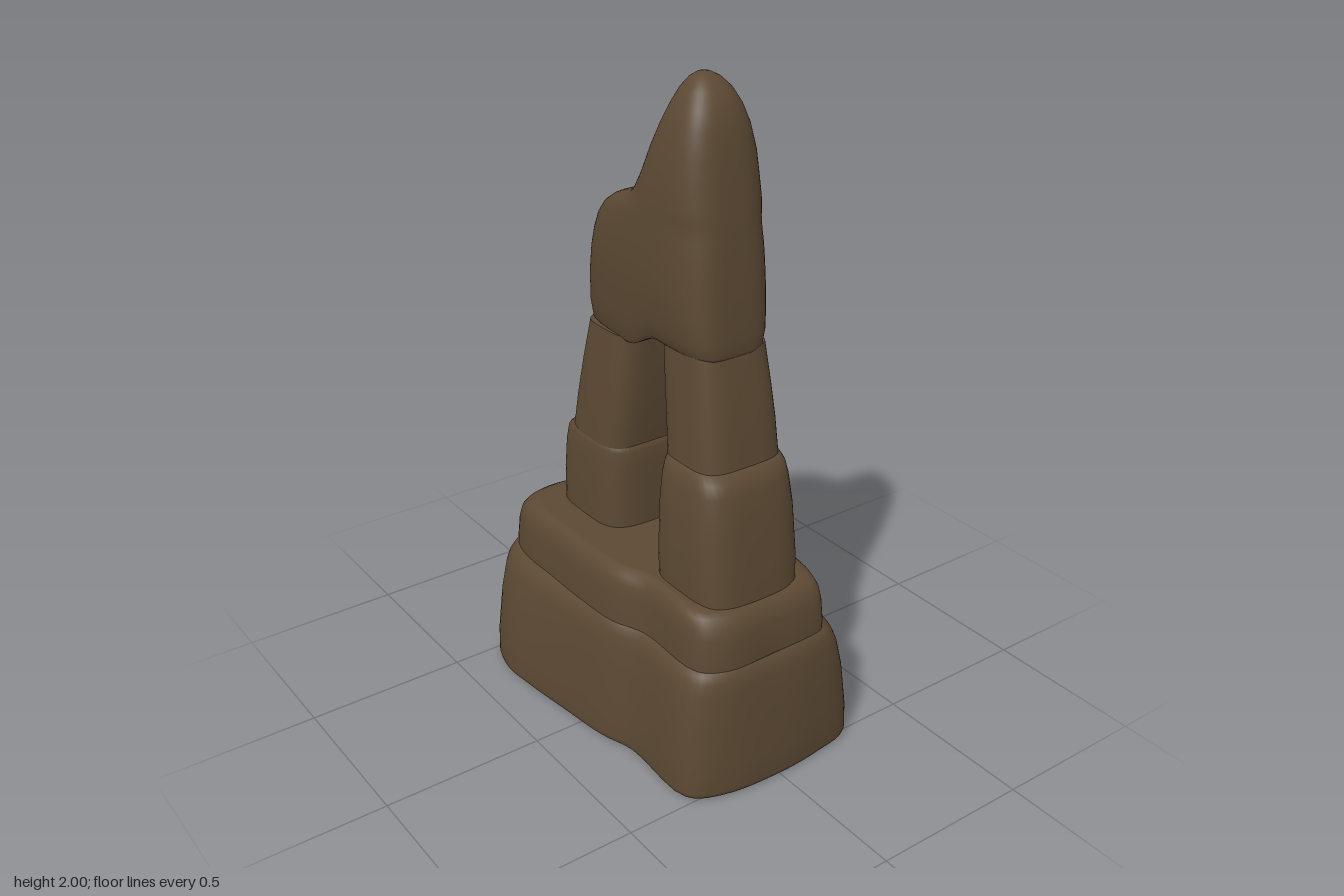
import * as THREE from 'three';

const rock = new THREE.MeshStandardMaterial({ color: 0x5c4933 });
rock.name = 'brown rock';

// Skin a stack of closed rings (counterclockwise from above, starting at +z) and cap both ends
function loft(name, rings) {
  const n = rings[0].length, pos = [], idx = [];
  const addRing = r => { const s = pos.length / 3; r.forEach(p => pos.push(p.x, p.y, p.z)); return s; };
  rings.forEach(addRing);
  for (let r = 0; r < rings.length - 1; r++) {
    for (let i = 0; i < n; i++) {
      const j = (i + 1) % n, a = r * n + i, b = r * n + j;
      idx.push(a, b, a + n, b, b + n, a + n);
    }
  }
  const cap = (ring, up) => {
    const s = addRing(ring);
    for (let i = 0; i < n / 2; i++) {
      const a = s + i, b = s + i + 1, c = s + n - i - 1, d = s + (n - i) % n;
      if (up) idx.push(a, b, c, a, c, d);
      else idx.push(a, c, b, a, d, c);
    }
  };
  cap(rings[0], false);
  cap(rings[rings.length - 1], true);
  const g = new THREE.BufferGeometry();
  g.setAttribute('position', new THREE.Float32BufferAttribute(pos, 3));
  g.setIndex(idx);
  g.computeVertexNormals();
  const mesh = new THREE.Mesh(g, rock);
  mesh.name = name;
  return mesh;
}

// Rounded-square ring between x0..x1 and z0 (back)..z1 (front)
function block(y, x0, x1, z0, z1, power = 4, n = 64) {
  return Array.from({ length: n }, (_, i) => {
    const t = i / n * Math.PI * 2, s = Math.sin(t), c = Math.cos(t);
    const r = (Math.abs(s) ** power + Math.abs(c) ** power) ** (-1 / power);
    return new THREE.Vector3((x0 + x1) / 2 + r * s * (x1 - x0) / 2, y, (z0 + z1) / 2 + r * c * (z1 - z0) / 2);
  });
}

const outline = pts => new THREE.CatmullRomCurve3(pts.map(([x, z]) => new THREE.Vector3(x, 0, z)), true);

// Irregular ground outline and the ledge outline above it
const foot = outline([
  [0, .555], [.15, .545], [.27, .52], [.315, .46], [.345, .3], [.375, .1], [.375, -.1], [.352, -.26], [.345, -.44], [.25, -.54],
  [0, -.553], [-.22, -.555], [-.34, -.49], [-.382, -.38], [-.375, -.24], [-.355, -.08], [-.33, .1], [-.297, .21], [-.292, .48], [-.2, .535]]);
const ledge = outline([
  [0, .503], [.12, .503], [.19, .49], [.215, .44], [.24, .32], [.30, .18], [.315, -.02], [.30, -.22], [.285, -.40], [.21, -.475],
  [0, -.49], [-.16, -.505], [-.26, -.47], [-.295, -.38], [-.297, -.22], [-.297, -.06], [-.285, .1], [-.245, .21], [-.235, .45], [-.16, .5]]);

// Base ring: blend from foot to ledge outline, then scale
function baseRing([y, mix, scale]) {
  return Array.from({ length: 100 }, (_, i) => {
    const p = foot.getPoint(i / 100).lerp(ledge.getPoint(i / 100), mix).multiplyScalar(scale);
    p.y = y;
    return p;
  });
}

export function createModel() {
  const group = new THREE.Group();
  group.name = 'rockArch';

  // Two-tier base
  group.add(loft('lowerBase', [
    [0, 0, .975], [.006, 0, .992], [.02, 0, 1], [.1, .03, 1], [.25, .24, 1], [.34, .46, 1], [.375, .62, 1], [.395, .82, 1], [.403, 1, 1],
  ].map(baseRing)));
  group.add(loft('upperBase', [
    [.39, 1, 1], [.43, 1, 1], [.5, 1, .985], [.535, 1, .965], [.557, 1, .93], [.568, 1, .89], [.573, 1, .83],
  ].map(baseRing)));

  // Leg stones: rows of [y, x0, x1, z0, z1]
  const stones = {
    frontLowerLeg: [
      [.56, -.187, .157, .14, .457], [.65, -.187, .16, .137, .45], [.8, -.18, .157, .136, .43],
      [.89, -.168, .15, .136, .412], [.925, -.158, .146, .138, .398], [.945, -.145, .14, .142, .375], [.95, -.125, .12, .15, .35]],
    frontUpperLeg: [
      [.94, -.143, .138, .135, .373], [1.05, -.137, .133, .122, .36], [1.15, -.131, .127, .108, .343], [1.27, -.124, .12, .094, .318]],
    backLowerLeg: [
      [.56, -.16, .195, -.405, -.072], [.68, -.16, .193, -.403, -.069], [.78, -.157, .185, -.393, -.069],
      [.825, -.153, .175, -.383, -.071], [.845, -.148, .16, -.362, -.076], [.85, -.13, .14, -.34, -.085]],
    backUpperLeg: [
      [.84, -.15, .147, -.347, -.077], [.95, -.146, .142, -.328, -.06], [1.08, -.138, .135, -.301, -.046], [1.21, -.128, .128, -.27, -.038]],
  };
  for (const [name, rows] of Object.entries(stones)) group.add(loft(name, rows.map(r => block(...r))));

  // Capstone bridging both legs: rows of [y, halfWidth, back z, front z, roundness]
  const floor = z => 1.26 - .06 * THREE.MathUtils.smoothstep(-z, -.1, .05);
  const capRows = [
    [1.2, .117, -.272, .32, 5], [1.215, .127, -.284, .325, 5], [1.27, .137, -.285, .325, 5], [1.36, .146, -.279, .322, 4.5],
    [1.44, .15, -.266, .317, 4.2], [1.5, .15, -.25, .313, 4], [1.55, .149, -.229, .309, 3.8], [1.585, .147, -.202, .305, 3.6],
    [1.61, .146, -.165, .303, 3.4], [1.63, .145, -.115, .301, 3.3], [1.647, .144, -.067, .299, 3.2], [1.67, .143, -.042, .296, 3.2],
    [1.72, .139, -.013, .29, 3], [1.8, .127, .025, .279, 3], [1.87, .11, .057, .265, 2.8], [1.92, .09, .079, .249, 2.6],
    [1.96, .067, .098, .225, 2.4], [1.985, .042, .116, .197, 2.2], [1.997, .02, .133, .172, 2], [2, .004, .15, .156, 2]];
  group.add(loft('capstone', capRows.map(([y, w, z0, z1, power]) => {
    const ring = block(y, -w, w, z0, z1, power, 96);
    for (const p of ring) {
      if (y < 1.4) { // arched underside
        const f = floor(p.z);
        p.y = f + (y - 1.2) * (1.4 - f) / .2;
      }
      p.x -= .035 * p.z; // slight sideways twist
    }
    return ring;
  })));

  return group;
}
